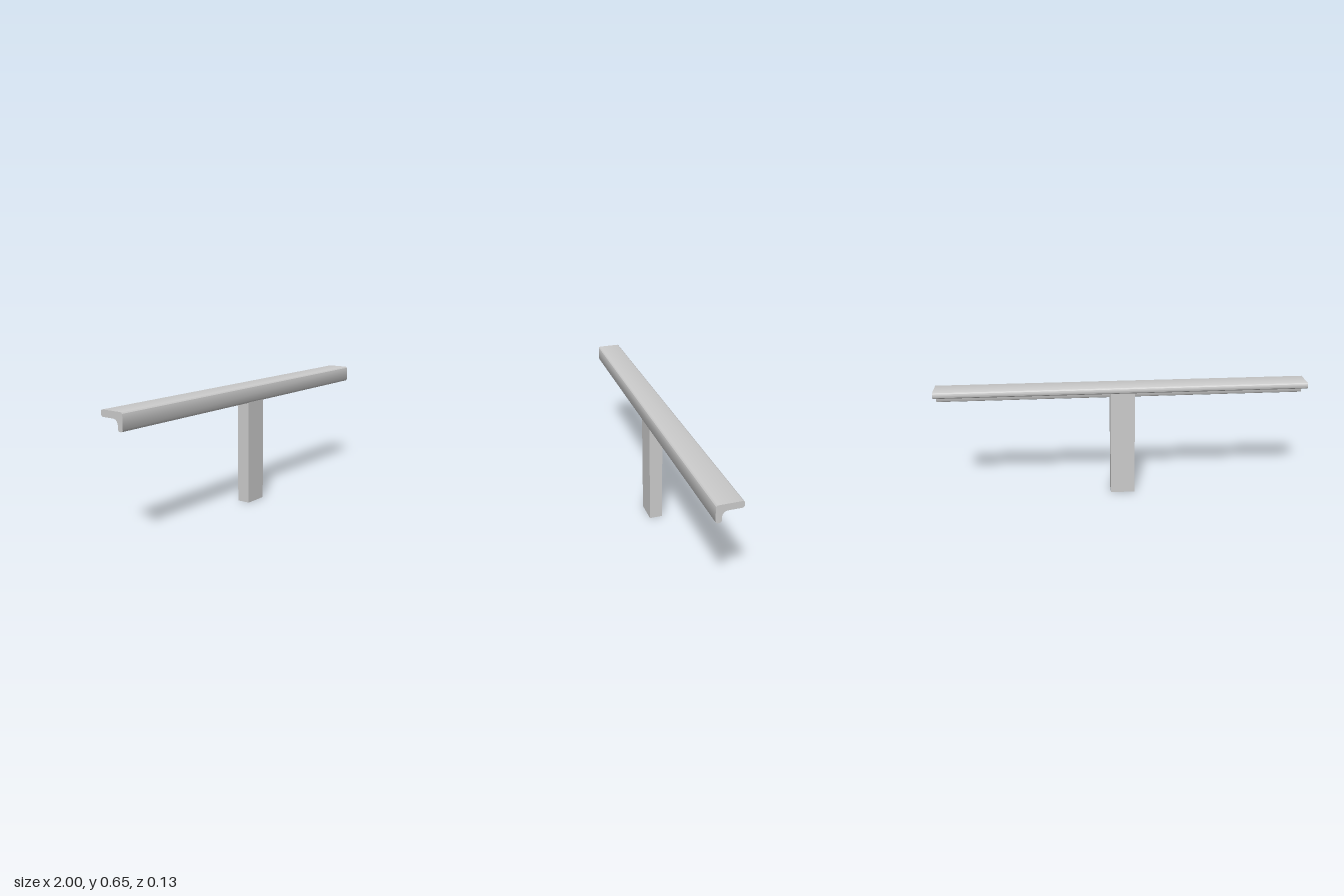
import * as THREE from 'three';
import { toCreasedNormals } from 'three/addons/utils/BufferGeometryUtils.js';

export function createModel() {
  const group = new THREE.Group();
  const material = new THREE.MeshStandardMaterial({ color: 0xcccccc });

  // Rounded angle profile, drawn as (z, y)
  const front = 0.067, back = -0.067, top = 0.647, under = 0.613, bottom = 0.557;
  const inner = 0.037, r = 0.012, fillet = 0.028;
  const s = new THREE.Shape();
  s.moveTo(front, bottom + r);
  s.lineTo(front, top - r);
  s.absarc(front - r, top - r, r, 0, Math.PI / 2, false);
  s.lineTo(back + r, top);
  s.absarc(back + r, top - r, r, Math.PI / 2, Math.PI, false);
  s.lineTo(back, under + r);
  s.absarc(back + r, under + r, r, Math.PI, Math.PI * 1.5, false);
  s.lineTo(inner - fillet, under);
  s.absarc(inner - fillet, under - fillet, fillet, Math.PI / 2, 0, true);
  s.lineTo(inner, bottom + r);
  s.absarc(inner + r, bottom + r, r, Math.PI, Math.PI * 1.5, false);
  s.lineTo(front - r, bottom);
  s.absarc(front - r, bottom + r, r, Math.PI * 1.5, Math.PI * 2, false);

  // Long rail, run along x
  let railGeo = new THREE.ExtrudeGeometry(s, { depth: 2, bevelEnabled: false, curveSegments: 10 });
  railGeo.translate(0, 0, -1).rotateY(-Math.PI / 2);
  railGeo = toCreasedNormals(railGeo, 0.6);
  const rail = new THREE.Mesh(railGeo, material);
  rail.name = 'rail';
  group.add(rail);

  // Square-edged post, its top sunk into the rail
  const postHeight = 0.62;
  const post = new THREE.Mesh(new THREE.BoxGeometry(0.134, postHeight, 0.072), material);
  post.name = 'post';
  post.position.set(0, postHeight / 2, 0.028);
  group.add(post);

  return group;
}
